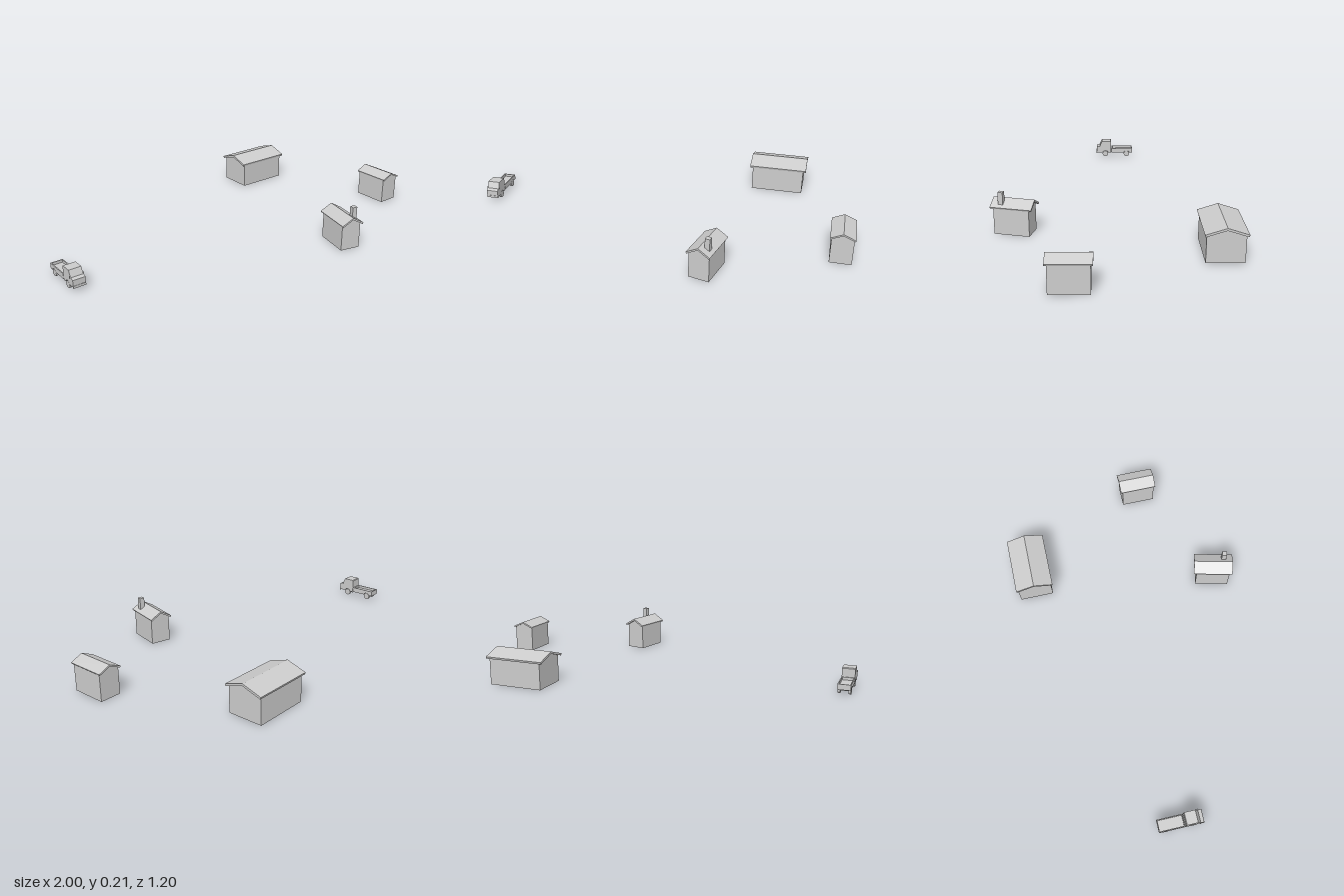
import * as THREE from 'three';

const grey = new THREE.MeshStandardMaterial({ color: 0xcccccc, flatShading: true });

function add(parent, name, geometry, x = 0, y = 0, z = 0) {
  const mesh = new THREE.Mesh(geometry, grey);
  mesh.name = name;
  mesh.position.set(x, y, z);
  parent.add(mesh);
  return mesh;
}

// Extrudes a closed outline, centred along its depth
function prism(shape, depth) {
  const geometry = new THREE.ExtrudeGeometry(shape, { depth, bevelEnabled: false, curveSegments: 10 });
  return geometry.translate(0, 0, -depth / 2);
}

const outline = (points) => new THREE.Shape(points.map(([x, y]) => new THREE.Vector2(x, y)));

// Gabled building with its ridge along local z
function building(name, { wall, wallLength, roof, roofLength, eave, ridge, thick }) {
  const group = new THREE.Group();
  group.name = name;
  const slope = (ridge - eave) / roof;
  const drop = thick * Math.hypot(1, slope);
  const under = (x) => ridge - drop - slope * x;
  add(group, 'walls', prism(outline([
    [-wall, 0], [wall, 0], [wall, under(wall)], [0, under(0)], [-wall, under(wall)],
  ]), wallLength));
  // Roof slabs with square-cut eaves
  const lip = roof - thick * slope / Math.hypot(1, slope);
  add(group, 'roof', prism(outline([
    [lip, under(lip)], [roof, eave], [0, ridge], [-roof, eave], [-lip, under(lip)], [0, under(0)],
  ]), roofLength));
  return group;
}

// Side profile with a wheel arch cut from its lower edge; profile x runs along the truck
function sideShape(rear, front, bottom, top, archZ, archR, wheelY) {
  const half = Math.sqrt(archR ** 2 - (bottom - wheelY) ** 2);
  const angle = Math.atan2(bottom - wheelY, half);
  const shape = new THREE.Shape();
  shape.moveTo(rear, bottom);
  shape.lineTo(archZ - half, bottom);
  shape.absarc(archZ, wheelY, archR, Math.PI - angle, angle, true);
  shape.lineTo(front, bottom);
  top.forEach(([z, y]) => shape.lineTo(z, y));
  shape.closePath();
  return shape;
}

function truck() {
  const group = new THREE.Group();
  group.name = 'truck';
  const half = 0.032, wheelY = 0.018, wheelR = 0.018, archR = 0.021;
  const frontAxle = 0.039, rearAxle = -0.1;
  const along = (shape, width) => prism(shape, width).rotateY(-Math.PI / 2);

  // Cab and bonnet
  const cab = sideShape(0.001, 0.095, 0.026,
    [[0.095, 0.062], [0.09, 0.066], [0.076, 0.068], [0.061, 0.101], [0.005, 0.101], [0.001, 0.097]],
    frontAxle, archR, wheelY);
  add(group, 'cab', along(cab, half * 2));
  add(group, 'bumper', new THREE.BoxGeometry(half * 2, 0.012, 0.006), 0, 0.027, 0.094);

  // Open load bed
  const side = sideShape(-0.136, -0.002, 0.027, [[-0.002, 0.055], [-0.136, 0.055]], rearAxle, archR, wheelY);
  for (const s of [-1, 1]) add(group, 'bedSide', along(side, 0.005), s * (half - 0.0025));
  add(group, 'bedFloor', new THREE.BoxGeometry(half * 2 - 0.01, 0.005, 0.134), 0, 0.0385, -0.069);
  add(group, 'bedFront', new THREE.BoxGeometry(half * 2 - 0.01, 0.028, 0.005), 0, 0.041, -0.0045);
  add(group, 'tailgate', new THREE.BoxGeometry(half * 2 - 0.01, 0.028, 0.005), 0, 0.041, -0.1335);
  add(group, 'chassis', new THREE.BoxGeometry(0.03, 0.014, 0.15), 0, 0.031, -0.05);

  // Axles, wheels and mirrors
  for (const z of [frontAxle, rearAxle]) {
    add(group, 'axle', new THREE.CylinderGeometry(0.004, 0.004, 0.05, 8).rotateZ(Math.PI / 2), 0, wheelY, z);
    for (const s of [-1, 1]) {
      add(group, 'wheel', new THREE.CylinderGeometry(wheelR, wheelR, 0.011, 16).rotateZ(Math.PI / 2),
        s * 0.0255, wheelY, z);
    }
  }
  for (const s of [-1, 1]) {
    add(group, 'mirror', new THREE.BoxGeometry(0.006, 0.009, 0.004), s * 0.034, 0.071, 0.073);
  }
  return group;
}

export function createModel() {
  const model = new THREE.Group();
  model.name = 'farmyard';

  // Long barn, ridge along x
  const barn = building('barn', {
    wall: 0.09, wallLength: 0.282, roof: 0.1, roofLength: 0.312, eave: 0.143, ridge: 0.175, thick: 0.011,
  });
  barn.rotation.y = Math.PI / 2;
  barn.position.set(0.558, 0, -0.503);

  // Small shed
  const shed = building('shed', {
    wall: 0.054, wallLength: 0.181, roof: 0.061, roofLength: 0.201, eave: 0.141, ridge: 0.168, thick: 0.008,
  });
  shed.position.set(0.939, 0, 0.185);

  // Turned house with a chimney
  const house = building('house', {
    wall: 0.0525, wallLength: 0.181, roof: 0.061, roofLength: 0.211, eave: 0.141, ridge: 0.176, thick: 0.009,
  });
  add(house, 'chimney', new THREE.BoxGeometry(0.025, 0.066, 0.025), 0.03, 0.181, 0.056);
  house.rotation.y = -0.24;
  house.position.set(0.326, 0, 0.482);

  const pickup = truck();
  pickup.position.x = -0.963;

  model.add(barn, shed, house, pickup);
  return model;
}
